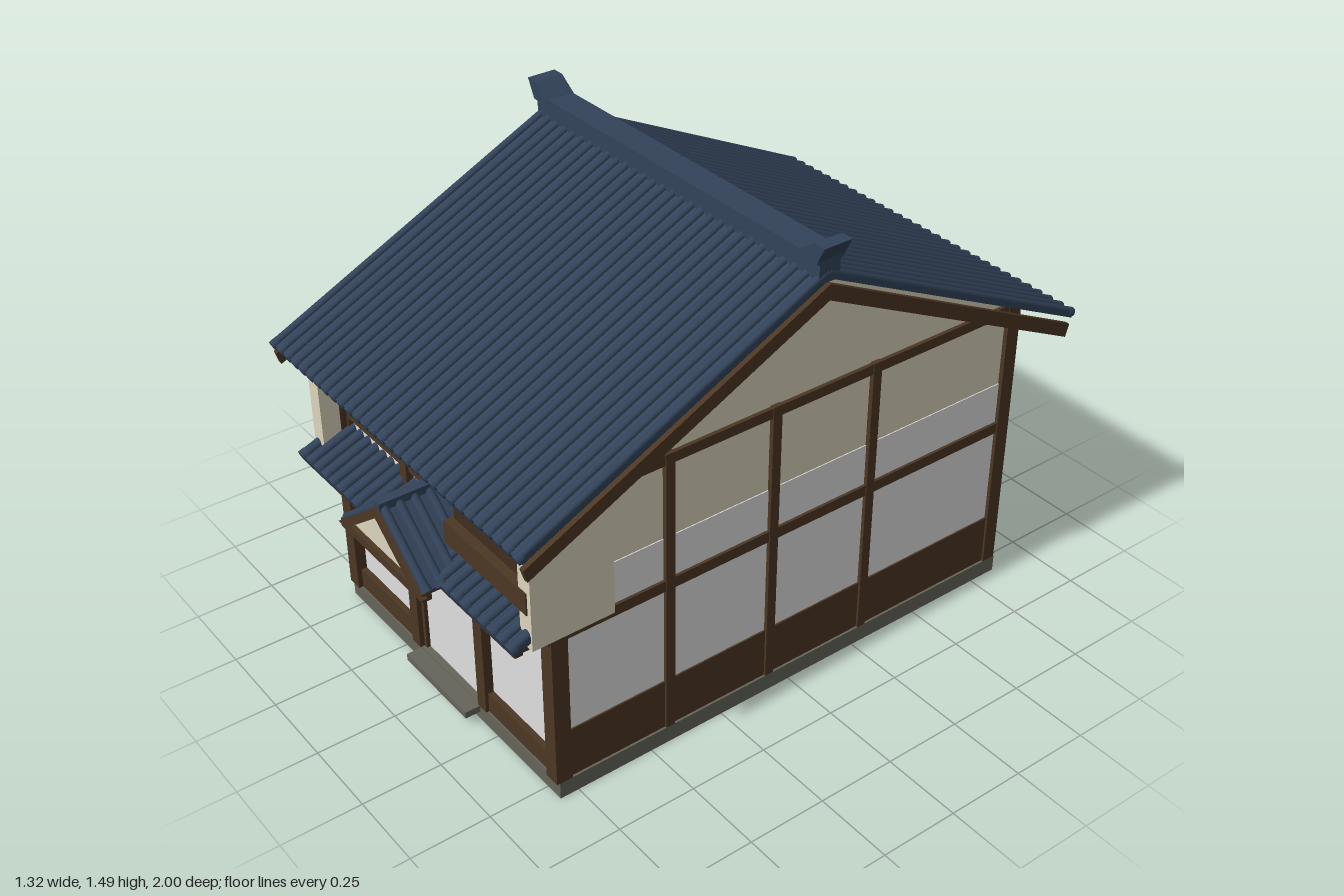
import * as THREE from 'three';

const mat = (name, color, side = THREE.FrontSide) => {
  const m = new THREE.MeshStandardMaterial({ color, side });
  m.name = name;
  return m;
};

export function createModel() {
  const wood = mat('dark wood', 0x4c3725);
  const shade = mat('deep wood', 0x402e1f);
  const white = mat('white plaster', 0xe0e0e0);
  const cream = mat('cream plaster', 0xdcd5bd);
  const stone = mat('stone', 0x66655a);
  const tile = mat('roof tile', 0x33435a);

  const model = new THREE.Group();
  model.name = 'house';
  const part = (name) => {
    const g = new THREE.Group();
    g.name = name;
    model.add(g);
    return g;
  };
  // Box given by its min and max on each axis
  const box = (parent, name, m, x0, x1, y0, y1, z0, z1) => {
    const mesh = new THREE.Mesh(new THREE.BoxGeometry(x1 - x0, y1 - y0, z1 - z0), m);
    mesh.position.set((x0 + x1) / 2, (y0 + y1) / 2, (z0 + z1) / 2);
    mesh.name = name;
    parent.add(mesh);
    return mesh;
  };
  // Same box on both sides of x = 0
  const pair = (parent, name, m, x0, x1, ...r) => {
    box(parent, name, m, x0, x1, ...r);
    box(parent, name, m, -x1, -x0, ...r);
  };
  // Tiled slope: starts at its top edge, runs along +z, then pitched and turned
  const slope = (parent, name, width, length, count, r, pitch, turn, pos) => {
    const g = new THREE.Group();
    g.name = name;
    box(g, 'roofSlab', tile, -width / 2, width / 2, -0.012, 0.004, 0, length);
    const roll = new THREE.CylinderGeometry(r, r, length, 8).rotateX(Math.PI / 2);
    const cap = new THREE.CylinderGeometry(r * 1.2, r * 1.2, 0.02, 10).rotateX(Math.PI / 2);
    for (let i = 0; i < count; i++) {
      const x = (i / (count - 1) - 0.5) * (width - 2 * r);
      const a = new THREE.Mesh(roll, tile);
      a.name = 'tileRoll';
      a.position.set(x, 0.004, length / 2);
      const b = new THREE.Mesh(cap, tile);
      b.name = 'eaveTile';
      b.position.set(x, 0.002, length - 0.005);
      g.add(a, b);
    }
    g.rotation.order = 'YXZ';
    g.rotation.set(pitch, turn, 0);
    g.position.set(...pos);
    parent.add(g);
  };
  // Extruded outline, depth along +z
  const plate = (parent, name, m, pts, depth) => {
    const shape = new THREE.Shape(pts.map((p) => new THREE.Vector2(...p)));
    const mesh = new THREE.Mesh(new THREE.ExtrudeGeometry(shape, { depth, bevelEnabled: false }), m);
    mesh.name = name;
    parent.add(mesh);
    return mesh;
  };

  // Stone base and door step
  const base = part('foundation');
  box(base, 'base', stone, -0.56, 0.56, 0, 0.055, -0.845, 0.81);
  box(base, 'doorStep', stone, -0.16, 0.16, 0.028, 0.05, 0.8, 0.86);

  // Gabled body, outline in (-z, y), turned so that depth runs along x
  const walls = part('walls');
  const body = plate(walls, 'gabledBody', cream,
    [[-0.78, 0.05], [0.83, 0.05], [0.83, 0.985], [0.02, 1.372], [-0.78, 0.985]], 1.09);
  body.rotation.y = Math.PI / 2;
  body.position.x = -0.545;

  // Side walls
  const sides = part('sideTimbers');
  pair(sides, 'sidePlaster', white, 0.543, 0.548, 0.22, 0.71, -0.83, 0.78);
  pair(sides, 'sideWainscot', wood, 0.543, 0.553, 0.055, 0.22, -0.83, 0.78);
  pair(sides, 'sideRail', wood, 0.54, 0.557, 0.54, 0.575, -0.83, 0.79);
  pair(sides, 'sideTopBeam', wood, 0.54, 0.557, 0.95, 0.982, -0.83, 0.8);
  for (const z of [0.432, 0.073, -0.285]) {
    pair(sides, 'sidePost', wood, 0.54, 0.56, 0.055, 0.985, z - 0.015, z + 0.015);
  }
  pair(sides, 'frontCornerPost', wood, 0.51, 0.56, 0.055, 0.985, 0.768, 0.82);
  pair(sides, 'backCornerPost', wood, 0.515, 0.56, 0.055, 0.985, -0.843, -0.797);

  // Back wall
  const back = part('backWall');
  box(back, 'backPlaster', white, -0.53, 0.53, 0.22, 0.71, -0.833, -0.828);
  box(back, 'backWainscot', wood, -0.53, 0.53, 0.055, 0.22, -0.837, -0.828);
  box(back, 'backRail', wood, -0.53, 0.53, 0.54, 0.575, -0.84, -0.828);

  // Front, ground floor
  const front = part('shopFront');
  pair(front, 'frontPlaster', white, 0.19, 0.52, 0.11, 0.48, 0.778, 0.786);
  pair(front, 'frontSill', wood, 0.19, 0.52, 0.055, 0.12, 0.775, 0.805);
  pair(front, 'frontRail', wood, 0.19, 0.52, 0.475, 0.518, 0.775, 0.8);
  pair(front, 'doorPost', wood, 0.157, 0.2, 0.055, 0.55, 0.775, 0.815);
  pair(front, 'doorJamb', wood, 0.143, 0.16, 0.05, 0.42, 0.775, 0.8);
  box(front, 'doorLintel', wood, -0.16, 0.16, 0.41, 0.455, 0.775, 0.805);
  box(front, 'door', white, -0.145, 0.145, 0.05, 0.412, 0.778, 0.788);
  box(front, 'eaveBeam', wood, -0.555, 0.555, 0.54, 0.57, 0.77, 0.825);

  // Front, upper floor
  const upper = part('upperFront');
  box(upper, 'upperPlaster', white, -0.52, 0.52, 0.57, 0.68, 0.778, 0.785);
  box(upper, 'upperSill', wood, -0.52, 0.52, 0.68, 0.712, 0.775, 0.8);
  pair(upper, 'upperPost', wood, 0.163, 0.198, 0.57, 0.975, 0.775, 0.808);
  pair(upper, 'upperStud', wood, 0.143, 0.153, 0.71, 0.96, 0.775, 0.79);
  pair(upper, 'upperEdgeStud', wood, 0.5, 0.512, 0.57, 0.96, 0.775, 0.8);
  box(upper, 'shutterBox', shade, 0.17, 0.5, 0.735, 0.885, 0.775, 0.855);
  box(upper, 'shutterBoard', wood, 0.16, 0.55, 0.67, 0.74, 0.775, 0.884);
  box(upper, 'shutterTop', wood, 0.135, 0.572, 0.882, 0.902, 0.775, 0.89);

  // Sleeve walls flanking the upper floor
  const sleeves = part('sleeveWalls');
  pair(sleeves, 'sleeveWall', cream, 0.512, 0.565, 0.56, 0.945, 0.62, 0.88);
  pair(sleeves, 'sleeveCap', tile, 0.495, 0.582, 0.94, 0.957, 0.615, 0.89);

  // Eave over the ground floor
  const eave = part('lowerEave');
  slope(eave, 'lowerEaveSlope', 1.12, 0.175, 26, 0.016, 0.38, 0, [0, 0.643, 0.77]);
  box(eave, 'eaveFascia', wood, -0.55, 0.55, 0.55, 0.57, 0.9, 0.925);
  for (let i = 0; i < 5; i++) {
    const x = -0.53 + i * 0.265;
    box(eave, 'eaveBracket', wood, x - 0.012, x + 0.012, 0.55, 0.567, 0.78, 0.91);
  }

  // Gabled porch over the door
  const porch = part('porchGable');
  for (const s of [1, -1]) {
    slope(porch, 'porchSlope', 0.215, 0.262, 5, 0.014, 0.665, s * Math.PI / 2, [0, 0.735, 0.882]);
  }
  box(porch, 'porchRidge', tile, -0.016, 0.016, 0.73, 0.755, 0.775, 0.992);
  plate(porch, 'porchPediment', cream, [[-0.19, 0.57], [0.19, 0.57], [0, 0.72]], 0.01).position.z = 0.97;
  box(porch, 'porchTie', wood, -0.215, 0.215, 0.55, 0.578, 0.965, 0.995);
  pair(porch, 'porchBeam', wood, 0.165, 0.19, 0.548, 0.572, 0.78, 0.97);
  plate(porch, 'porchBarge', wood, [[-0.222, 0.565], [-0.18, 0.565], [0, 0.705], [0.18, 0.565],
    [0.222, 0.565], [0, 0.74]], 0.018).position.z = 0.982;

  // Main roof
  const roof = part('mainRoof');
  const pitch = Math.atan2(0.465, 0.965);
  slope(roof, 'frontSlope', 1.27, 1.072, 30, 0.0125, pitch, 0, [0, 1.388, -0.02]);
  slope(roof, 'backSlope', 1.27, 1.072, 30, 0.0125, pitch, Math.PI, [0, 1.388, -0.02]);
  for (const s of [1, -1]) {
    const barge = plate(roof, 'bargeBoard', wood, [[-0.942, 0.895], [-0.93, 0.855], [0.02, 1.312],
      [0.96, 0.855], [0.972, 0.895], [0.02, 1.36]], 0.016);
    barge.rotation.y = Math.PI / 2;
    barge.position.x = s * 0.63 - 0.008;
  }

  // Ridge with flared ends
  const ridge = part('ridge');
  box(ridge, 'ridgeWall', tile, -0.632, 0.632, 1.365, 1.432, -0.055, 0.015);
  box(ridge, 'ridgeCap', tile, -0.635, 0.635, 1.425, 1.446, -0.064, 0.024);
  for (const s of [1, -1]) {
    const end = plate(ridge, 'ridgeEnd', tile,
      [[0.55, 1.43], [0.632, 1.43], [0.66, 1.485], [0.62, 1.485], [0.565, 1.447]], 0.094);
    end.rotation.y = s > 0 ? 0 : Math.PI;
    end.position.z = -0.02 - s * 0.047;
  }
  return model;
}
